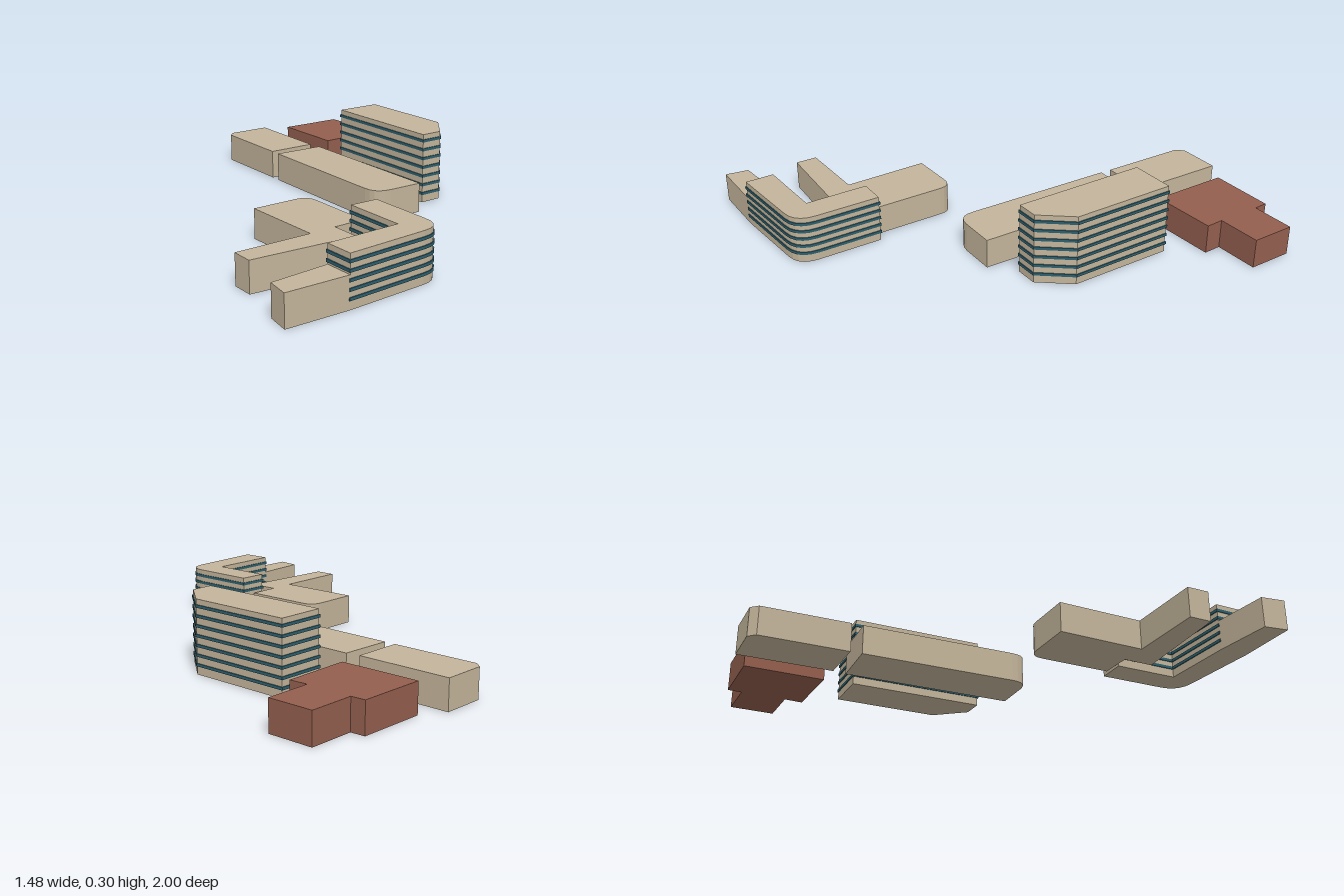
import * as THREE from 'three';

const stone = new THREE.MeshStandardMaterial({ color: 0xc4b59b });
const brick = new THREE.MeshStandardMaterial({ color: 0x935f4e });
const glass = new THREE.MeshStandardMaterial({ color: 0x2c5f6e });

// Footprint corners are [x, z] or [x, z, cut]; a cut rounds the corner with short facets.
function outline(corners) {
  const pts = corners.map(c => new THREE.Vector2(c[0], -c[1]));
  const out = [];
  pts.forEach((p, i) => {
    const cut = corners[i][2];
    if (!cut) return out.push(p);
    const prev = pts[(i + pts.length - 1) % pts.length];
    const next = pts[(i + 1) % pts.length];
    const a = p.clone().add(prev.clone().sub(p).setLength(cut));
    const b = p.clone().add(next.clone().sub(p).setLength(cut));
    out.push(...new THREE.QuadraticBezierCurve(a, p, b).getPoints(5));
  });
  return out;
}

// Push every wall of an outline outwards by d, with mitred corners.
function offset(pts, d) {
  const s = THREE.ShapeUtils.isClockWise(pts) ? -d : d;
  const normal = (a, b) => new THREE.Vector2(b.y - a.y, a.x - b.x).normalize();
  return pts.map((p, i) => {
    const n1 = normal(pts[(i + pts.length - 1) % pts.length], p);
    const n2 = normal(p, pts[(i + 1) % pts.length]);
    return p.clone().addScaledVector(n1.clone().add(n2), s / (1 + n1.dot(n2)));
  });
}

function prism(name, pts, base, height, material) {
  const geo = new THREE.ExtrudeGeometry(new THREE.Shape(pts), { depth: height, bevelEnabled: false });
  geo.rotateX(-Math.PI / 2);
  const mesh = new THREE.Mesh(geo, material);
  mesh.name = name;
  mesh.position.y = base;
  return mesh;
}

// A block, optionally wrapped in evenly spaced window bands
function building(name, corners, height, material = stone, bands = 0, first = 0, step = 0) {
  const group = new THREE.Group();
  group.name = name;
  const pts = outline(corners);
  group.add(prism(name + 'Walls', pts, 0, height, material));
  const ring = offset(pts, 0.004);
  for (let i = 0; i < bands; i++) {
    group.add(prism('windowBand', ring, first + i * step - 0.006, 0.012, glass));
  }
  return group;
}

export function createModel() {
  const model = new THREE.Group();
  model.name = 'buildingComplex';
  const low = 0.126;

  // Rear group: two long low blocks, banded tower and brick annex
  model.add(building('rearBlock',
    [[-0.095, -0.94], [-0.07, -0.975], [0.116, -1], [0.168, -0.595], [-0.047, -0.563]], low));
  model.add(building('longBlock',
    [[-0.042, -0.515], [0.184, -0.54], [0.278, 0.193], [0.05, 0.223, 0.075]], low));
  model.add(building('tower',
    [[0.277, -0.49], [0.475, -0.518], [0.54, -0.07], [0.455, 0.075], [0.36, 0.09]],
    0.303, stone, 7, 0.04, 0.0392));
  model.add(building('brickAnnex',
    [[0.222, -0.955], [0.507, -0.993], [0.518, -0.934], [0.708, -0.962],
      [0.737, -0.772], [0.545, -0.742], [0.56, -0.666], [0.272, -0.615]], low, brick));

  // Front group: low angled block, banded corner building and its low wing
  model.add(building('angledBlock',
    [[-0.472, 0.172], [-0.218, 0.132, 0.06], [-0.165, 0.492], [-0.298, 0.515],
      [-0.278, 0.642], [-0.72, 0.68], [-0.733, 0.587], [-0.412, 0.537]], low));
  model.add(building('cornerBuilding',
    [[-0.232, 0.517], [-0.113, 0.502], [-0.06, 0.871, 0.09], [-0.482, 0.962],
      [-0.502, 0.84], [-0.192, 0.785]], 0.202, stone, 5, 0.04, 0.0335));
  model.add(building('lowWing',
    [[-0.502, 0.84], [-0.482, 0.962], [-0.74, 0.997], [-0.74, 0.897]], low));

  return model;
}
